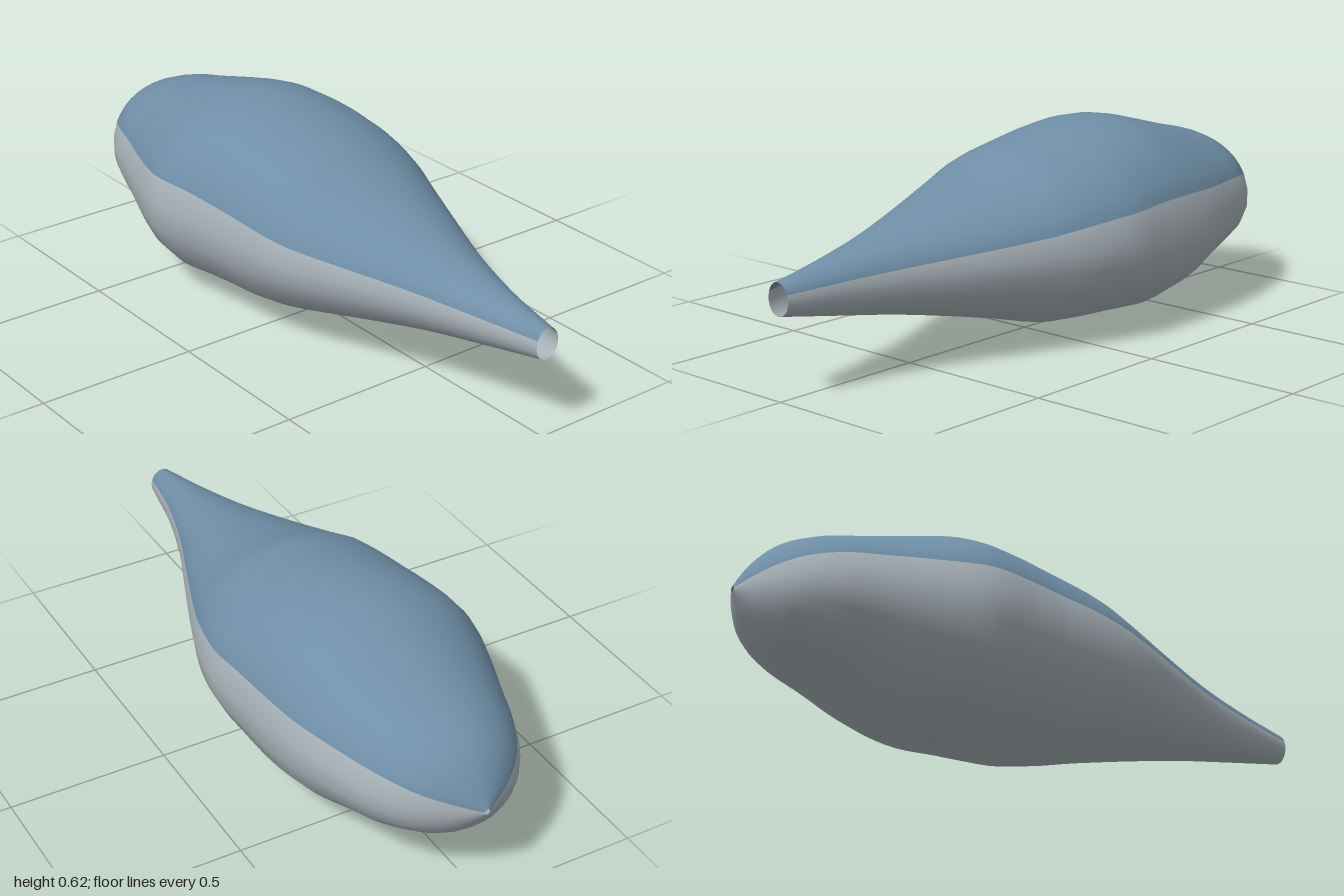
import * as THREE from 'three';

// Body stations, front to back: z, half-width at -x, half-width at +x, top y, bottom y, colour line y
const STATIONS = [
  [1, 0.037, 0.043, 0.34, 0.243, 0.31],
  [0.8, 0.09, 0.08, 0.373, 0.205, 0.319],
  [0.6, 0.15, 0.14, 0.415, 0.168, 0.331],
  [0.4, 0.23, 0.22, 0.465, 0.124, 0.347],
  [0.2, 0.31, 0.30, 0.525, 0.075, 0.366],
  [0.1, 0.333, 0.337, 0.567, 0.047, 0.38],
  [0, 0.347, 0.365, 0.587, 0.026, 0.392],
  [-0.1, 0.356, 0.38, 0.605, 0.02, 0.399],
  [-0.2, 0.368, 0.376, 0.62, 0.013, 0.406],
  [-0.36, 0.384, 0.365, 0.621, 0.0, 0.409],
  [-0.5, 0.347, 0.347, 0.589, 0.024, 0.404],
  [-0.65, 0.293, 0.309, 0.549, 0.083, 0.399],
  [-0.8, 0.235, 0.253, 0.509, 0.13, 0.388],
  [-0.9, 0.168, 0.175, 0.455, 0.175, 0.362],
  [-0.96, 0.09, 0.09, 0.385, 0.235, 0.334],
  [-1, 0.007, 0.011, 0.316, 0.298, 0.308],
];
const HALF = 14; // segments in each colour half of a ring
const RINGS = 56;

export function createModel() {
  const upperBlue = new THREE.MeshStandardMaterial({ color: 0x6f8fa8, side: THREE.DoubleSide });
  upperBlue.name = 'upper blue';
  const lowerGrey = new THREE.MeshStandardMaterial({ color: 0xaab4ba, side: THREE.DoubleSide });
  lowerGrey.name = 'lower grey';

  const spline = new THREE.CubicInterpolant(
    new Float32Array(STATIONS.map((s) => -s[0])),
    new Float32Array(STATIONS.flatMap((s) => s.slice(1))),
    5
  );

  // Rings of lopsided ellipses; the first half of each ring lies above the colour line
  const n = HALF * 2;
  const positions = [];
  for (let i = 0; i <= RINGS; i++) {
    const u = i / RINGS;
    const z = 1 - 2 * (0.6 * u + 0.4 * Math.sin((u * Math.PI) / 2)); // closer rings at the blunt end
    const [left, right, top, bottom, line] = spline.evaluate(-z);
    const mid = 0.305 - 0.015 * Math.max(0, z);
    const start = Math.asin(Math.min(0.95, (line - mid) / (top - mid)));
    for (let j = 0; j < n; j++) {
      const a = j < HALF
        ? start + ((Math.PI - 2 * start) * j) / HALF
        : Math.PI - start + ((Math.PI + 2 * start) * (j - HALF)) / HALF;
      const c = Math.cos(a);
      const s = Math.sin(a);
      positions.push(c * (c < 0 ? left : right), mid + s * (s > 0 ? top - mid : mid - bottom), z);
    }
  }

  // Faces of the upper half first, then the lower half, sharing smooth normals
  const index = [];
  const addHalf = (from) => {
    for (let i = 0; i < RINGS; i++) {
      for (let j = from; j < from + HALF; j++) {
        const k = (j + 1) % n;
        const a = i * n + j, b = i * n + k, c = a + n, d = b + n;
        index.push(a, c, b, b, c, d);
      }
    }
  };
  addHalf(0);
  addHalf(HALF);

  const geometry = new THREE.BufferGeometry();
  geometry.setAttribute('position', new THREE.Float32BufferAttribute(positions, 3));
  geometry.setIndex(index);
  geometry.addGroup(0, index.length / 2, 0);
  geometry.addGroup(index.length / 2, index.length / 2, 1);
  geometry.computeVertexNormals();

  // Hollow body shell, open at both ends
  const body = new THREE.Mesh(geometry, [upperBlue, lowerGrey]);
  body.name = 'bodyShell';

  const model = new THREE.Group();
  model.name = 'taperedBody';
  model.add(body);
  return model;
}
